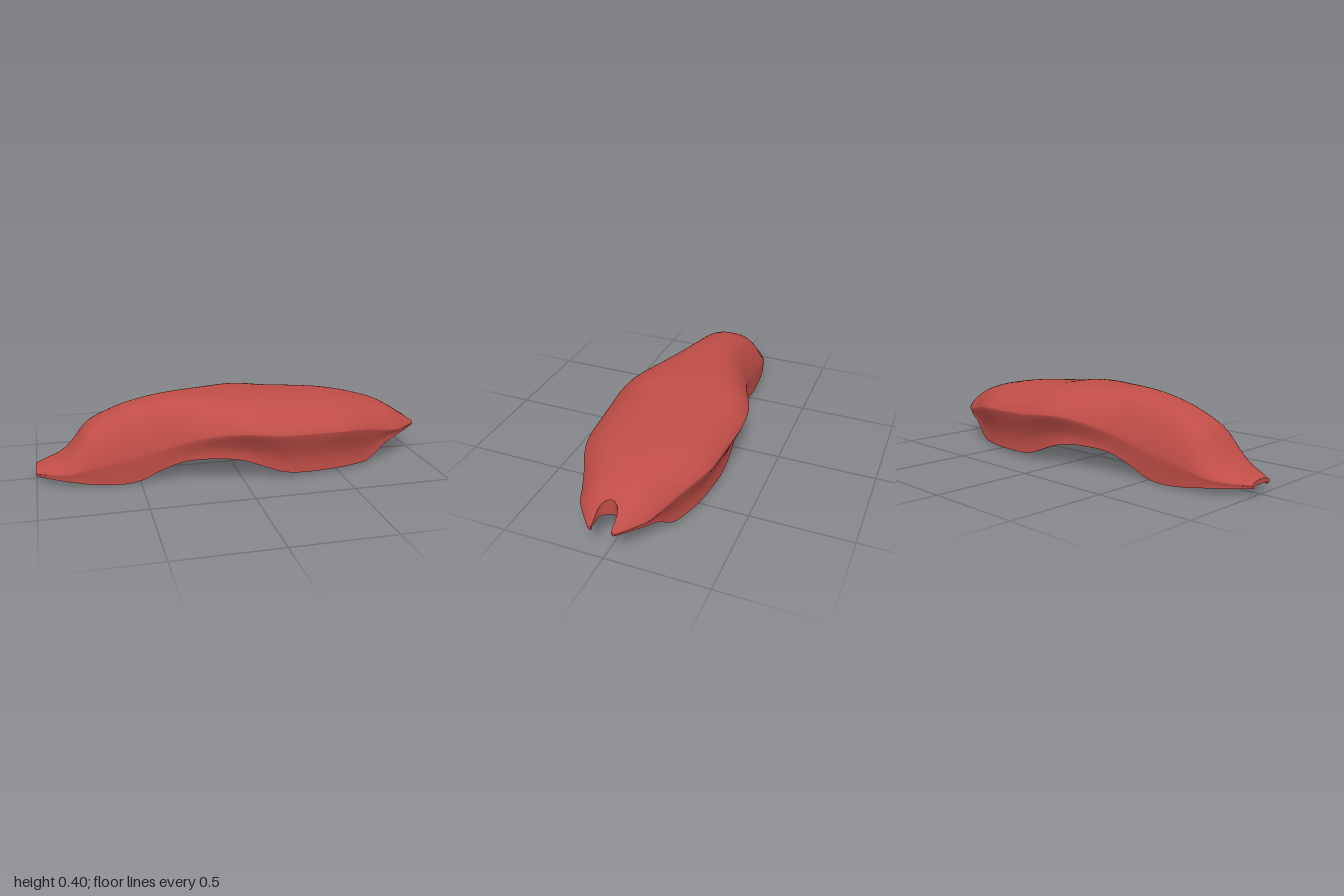
import * as THREE from 'three';
import { mergeVertices } from 'three/addons/utils/BufferGeometryUtils.js';

// Stations along the body: x, crown y, ridge y, lower edge y, ridge half width, lower edge half width
const STATIONS = [
  [-1, 0.07, 0.05, 0.038, 0.07, 0.066],
  [-0.94, 0.09, 0.055, 0.034, 0.112, 0.108],
  [-0.87, 0.115, 0.062, 0.03, 0.152, 0.148],
  [-0.81, 0.175, 0.072, 0.024, 0.173, 0.169],
  [-0.74, 0.265, 0.09, 0.013, 0.183, 0.179],
  [-0.6, 0.335, 0.115, 0.001, 0.188, 0.185],
  [-0.5, 0.365, 0.135, 0.013, 0.191, 0.187],
  [-0.4, 0.384, 0.165, 0.06, 0.201, 0.195],
  [-0.28, 0.394, 0.205, 0.105, 0.23, 0.216],
  [-0.12, 0.396, 0.245, 0.117, 0.287, 0.25],
  [0, 0.396, 0.257, 0.105, 0.33, 0.272],
  [0.1, 0.391, 0.25, 0.07, 0.345, 0.282],
  [0.2, 0.377, 0.24, 0.033, 0.343, 0.286],
  [0.3, 0.369, 0.236, 0.02, 0.336, 0.284],
  [0.5, 0.35, 0.229, 0.017, 0.318, 0.262],
  [0.6, 0.336, 0.22, 0.016, 0.287, 0.234],
  [0.69, 0.318, 0.2, 0.021, 0.243, 0.202],
  [0.8, 0.285, 0.175, 0.1, 0.197, 0.173],
  [0.87, 0.25, 0.165, 0.127, 0.17, 0.153],
  [0.94, 0.208, 0.159, 0.138, 0.117, 0.107],
  [1, 0.172, 0.156, 0.146, 0.065, 0.06],
];
// Underside panel recessed slightly within the lower edge: x, y
const PANEL = [[-1, 0.048], [-0.75, 0.05], [-0.6, 0.044], [-0.5, 0.055], [-0.4, 0.096],
  [-0.28, 0.138], [-0.12, 0.15], [0, 0.14], [0.1, 0.107], [0.2, 0.073], [0.3, 0.06],
  [0.6, 0.058], [0.68, 0.062], [0.8, 0.126], [0.88, 0.156], [1, 0.158]];
const SLOT_X = 0.945, SLOT_LENGTH = 0.057, SLOT_HALF = 0.047, WALL = 0.02;

// Smooth interpolation in a table by cubic Hermite segments
function sample(S, x) {
  const n = S.length;
  let i = 0;
  while (i < n - 2 && x > S[i + 1][0]) i++;
  const dx = S[i + 1][0] - S[i][0], t = (x - S[i][0]) / dx;
  const slope = (k, c) => {
    const a = S[Math.max(k - 1, 0)], b = S[Math.min(k + 1, n - 1)];
    return (b[c] - a[c]) / (b[0] - a[0]);
  };
  const t2 = t * t, t3 = t2 * t;
  return S[i].slice(1).map((_, k) => {
    const c = k + 1;
    return (2 * t3 - 3 * t2 + 1) * S[i][c] + (t3 - 2 * t2 + t) * dx * slope(i, c)
      + (3 * t2 - 2 * t3) * S[i + 1][c] + (t3 - t2) * dx * slope(i + 1, c);
  });
}

// Half width of the round-ended slot in the nose
function slot(x) {
  if (x >= SLOT_X) return SLOT_HALF;
  return SLOT_HALF * Math.sqrt(Math.max(0, 1 - ((SLOT_X - x) / SLOT_LENGTH) ** 2));
}

// Half cross-section from the crown out to the ridge and down to the lower edge
function outerSection(x) {
  const [top, ridge, low, wide, lowWide] = sample(STATIONS, x);
  const z0 = slot(x), pts = [];
  for (let j = 0; j <= 18; j++) {
    const z = z0 + (wide - z0) * Math.sin((j / 18) * Math.PI / 2);
    const h = Math.pow(Math.max(0, 1 - Math.pow(z / wide, 2.8)), 0.78);
    pts.push([x, ridge + (top - ridge) * h, z]);
  }
  const drop = [0.1, 0.2, 0.35, 0.5, 0.65, 0.82, 1];
  const tuck = [0.12, 0.3, 0.56, 0.8, 0.97, 1.04, 1];
  drop.forEach((d, k) => pts.push([x, ridge + (low - ridge) * d, wide + (lowWide - wide) * tuck[k]]));
  return pts;
}

// Underside corners: panel centre, panel edge, inner lower edge
function underSection(x) {
  const [top, , low, , lowWide] = sample(STATIONS, x);
  const y = Math.min(Math.max(sample(PANEL, x)[0], low + 0.006), top - 0.008);
  const z0 = slot(x), z = Math.max(lowWide - WALL, z0 + 0.002);
  return [[x, y, z0], [x, y, z], [x, low, z]];
}

// Surface through rows of points together with its mirror image across z = 0
function mirroredSurface(rows, flip) {
  const pos = [], index = [], m = rows[0].length;
  for (const side of [1, -1]) {
    const base = pos.length / 3;
    rows.forEach((r) => r.forEach((p) => pos.push(p[0], p[1], p[2] * side)));
    for (let i = 0; i < rows.length - 1; i++) {
      for (let j = 0; j < m - 1; j++) {
        const a = base + i * m + j, b = a + 1, d = a + m, c = d + 1;
        if ((side > 0) !== flip) index.push(a, b, c, a, c, d);
        else index.push(a, c, b, a, d, c);
      }
    }
  }
  const g = new THREE.BufferGeometry();
  g.setAttribute('position', new THREE.Float32BufferAttribute(pos, 3));
  g.setIndex(index);
  const merged = mergeVertices(g, 1e-5);
  merged.computeVertexNormals();
  return merged;
}

export function createModel() {
  const group = new THREE.Group();
  group.name = 'bodyShell';
  const red = new THREE.MeshStandardMaterial({ color: 0xbf4d47, side: THREE.DoubleSide });
  red.name = 'red';

  // Even steps along the body, finer steps round the nose slot
  const xs = [], start = SLOT_X - SLOT_LENGTH;
  for (let i = 0; i <= 76; i++) xs.push(-1 + (start + 1) * (i / 76));
  for (let i = 1; i <= 10; i++) xs.push(SLOT_X - SLOT_LENGTH * Math.cos((i / 10) * Math.PI / 2));
  for (let i = 1; i <= 5; i++) xs.push(SLOT_X + (1 - SLOT_X) * (i / 5));

  const outer = xs.map(outerSection);
  const under = xs.map(underSection);
  const last = xs.length - 1, edge = outer[0].length - 1;

  const add = (name, rows, flip = false) => {
    const mesh = new THREE.Mesh(mirroredSurface(rows, flip), red);
    mesh.name = name;
    group.add(mesh);
  };
  add('outerShell', outer);
  add('undersidePanel', under.map((u) => [u[0], u[1]]), true);
  add('innerWall', under.map((u) => [u[1], u[2]]), true);
  add('lowerRim', xs.map((_, i) => [outer[i][edge], under[i][2]]));

  // End faces between the outer section and the underside
  const endFace = (i) => outer[i].map((p) => [p, [p[0], Math.min(p[1], under[i][0][1]), Math.min(p[2], under[i][1][2])]]);
  add('tailFace', endFace(0));
  add('noseFace', endFace(last), true);

  // Wall of the nose slot
  const slotRows = xs.map((_, i) => i).filter((i) => xs[i] >= start - 1e-6);
  add('slotWall', slotRows.map((i) => [outer[i][0], under[i][0]]), true);
  return group;
}
